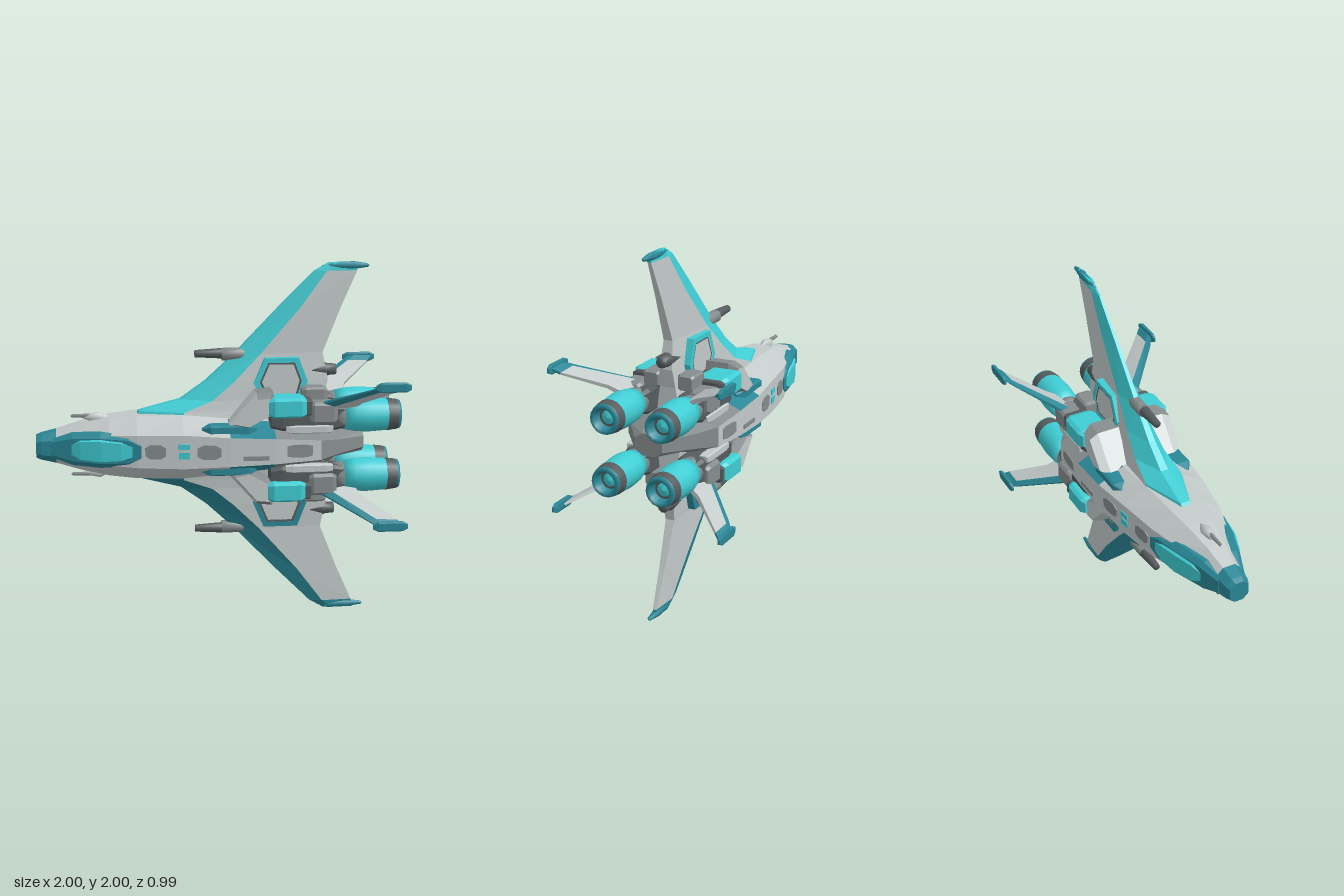
import * as THREE from 'three';

const mat = (name, color) => {
  const m = new THREE.MeshStandardMaterial({ color });
  m.name = name;
  return m;
};

export function createModel() {
  const light = mat('lightHull', 0xc3caca), gray = mat('midGray', 0x868c8d), dark = mat('darkMetal', 0x565c5e);
  const cyan = mat('brightCyan', 0x3fcdd4), teal = mat('deepTeal', 0x2a8796);
  const model = new THREE.Group();
  const ship = new THREE.Group();
  ship.name = 'ship';
  ship.position.y = 1; // the ship's long axis runs along x at mid height
  model.add(ship);

  const add = (name, geo, material) => {
    const m = new THREE.Mesh(geo, material);
    m.name = name;
    ship.add(m);
    return m;
  };

  // Faceted solid through rings of [x,y,z]; paint(segment, side) picks each face's colour
  function loft(name, rings, paint) {
    const pick = typeof paint === 'function' ? paint : () => paint;
    const n = rings[0].length, buckets = new Map();
    const tri = (m, a, b, c) => {
      if (!buckets.has(m)) buckets.set(m, []);
      buckets.get(m).push([a, b, c]);
    };
    for (let i = 0; i < rings.length - 1; i++) for (let j = 0; j < n; j++) {
      const k = (j + 1) % n, a = rings[i], b = rings[i + 1], m = pick(i, j);
      tri(m, a[j], b[j], b[k]);
      tri(m, a[j], b[k], a[k]);
    }
    const s = rings[0], e = rings[rings.length - 1];
    for (let j = 1; j < n - 1; j++) {
      tri(pick(0, 0), s[0], s[j], s[j + 1]);
      tri(pick(rings.length - 2, 0), e[0], e[j + 1], e[j]);
    }
    const V = p => new THREE.Vector3(...p);
    let volume = 0;
    const o = V(s[0]);
    for (const list of buckets.values()) for (const t of list) {
      const [a, b, c] = t.map(p => V(p).sub(o));
      volume += a.dot(b.cross(c));
    }
    const geo = new THREE.BufferGeometry(), pos = [], mats = [];
    for (const [m, list] of buckets) {
      geo.addGroup(pos.length / 3, list.length * 3, mats.length);
      mats.push(m);
      for (const [a, b, c] of list) pos.push(...a, ...(volume > 0 ? b : c), ...(volume > 0 ? c : b));
    }
    geo.setAttribute('position', new THREE.Float32BufferAttribute(pos, 3));
    geo.computeVertexNormals();
    return add(name, geo, mats);
  }

  // Reflected copy with corrected face order
  function mirror(mesh, sy, sz) {
    const geo = mesh.geometry.index ? mesh.geometry.toNonIndexed() : mesh.geometry.clone();
    geo.applyMatrix4(new THREE.Matrix4().makeScale(1, sy, sz));
    if (sy * sz < 0) for (const at of Object.values(geo.attributes)) {
      const w = at.itemSize;
      for (let i = 0; i < at.count; i += 3) for (let k = 0; k < w; k++) {
        const p = (i + 1) * w + k, q = p + w, t = at.array[p];
        at.array[p] = at.array[q];
        at.array[q] = t;
      }
    }
    add(mesh.name, geo, mesh.material);
  }
  const twice = m => mirror(m, -1, 1);
  const quad = m => [[-1, 1], [1, -1], [-1, -1]].forEach(([a, b]) => mirror(m, a, b));

  // Chamfered eight-sided cross-section
  const octagon = ([x, h, w], y = 0, z = 0, a = 0.52, b = 0.45) => [
    [-a, 1], [a, 1], [1, b], [1, -b], [a, -1], [-a, -1], [-1, -b], [-1, b]
  ].map(([p, q]) => [x, y + p * h, z + q * w]);
  const block = (name, x0, x1, y, z, h, w, m, taper = 0.8) => {
    const d = (x1 - x0) * 0.15;
    return loft(name, [[x0, h * taper, w * taper], [x0 + d, h, w], [x1 - d, h, w], [x1, h * taper, w * taper]]
      .map(s => octagon(s, y, z, 0.75, 0.75)), m);
  };
  const turned = (name, pts, y, z, m, sides = 18) => {
    const geo = new THREE.LatheGeometry(pts.map(([x, r]) => new THREE.Vector2(r, x)), sides);
    geo.rotateZ(-Math.PI / 2);
    geo.translate(0, y, z);
    return add(name, geo, m);
  };

  // Fuselage: x, half height, half width
  const hull = [[-1, 0.06, 0.055], [-0.97, 0.072, 0.066], [-0.89, 0.09, 0.078], [-0.75, 0.13, 0.11], [-0.6, 0.16, 0.16],
    [-0.45, 0.175, 0.205], [-0.2, 0.18, 0.245], [0.05, 0.155, 0.275], [0.3, 0.135, 0.28],
    [0.55, 0.105, 0.268], [0.65, 0.08, 0.2], [0.82, 0.06, 0.08]];
  loft('fuselage', hull.map(s => octagon(s)), (i, j) => {
    if (i < 2) return teal;
    if (i > 8) return gray;
    if (i === 7 && j % 2) return teal;
    return i === 8 && j % 4 ? gray : light;
  });
  const hullZ = x => {
    const i = Math.max(1, hull.findIndex(s => s[0] >= x)), [a, b] = [hull[i - 1], hull[i]];
    return a[2] + (b[2] - a[2]) * (x - a[0]) / (b[0] - a[0]);
  };

  // Canopies, one on each flank
  loft('canopyFrame', [[-0.92, 0.05, 0.078], [-0.8, 0.09, 0.122], [-0.65, 0.1, 0.172], [-0.5, 0.09, 0.204], [-0.43, 0.045, 0.214]]
    .map(s => octagon(s, 0, 0, 0.7, 0.8)), teal);
  loft('canopyGlass', [[-0.81, 0.035, 0.118], [-0.76, 0.07, 0.146], [-0.65, 0.08, 0.186], [-0.54, 0.068, 0.207], [-0.48, 0.04, 0.209]]
    .map(s => octagon(s, 0, 0, 0.7, 0.8)), cyan);

  // Painted flank patches, standing just proud of both sides
  const patch = (name, x0, x1, y, h, m, corner = 0.55) => loft(name, [0, 0.25, 0.75, 1].map(t => {
    const x = x0 + (x1 - x0) * t, r = t % 1 ? h : h * corner, w = hullZ(x) + 0.005;
    return [[x, y + r, w], [x, y + r, -w], [x, y - r, -w], [x, y - r, w]];
  }), m);
  patch('forwardPort', -0.41, -0.3, 0, 0.04, gray);
  patch('aftPort', -0.13, 0, 0, 0.04, gray);
  patch('upperMarking', -0.23, -0.17, 0.03, 0.015, cyan, 1);
  patch('lowerMarking', -0.23, -0.17, -0.02, 0.018, cyan, 1);
  patch('aftPanel', 0.36, 0.5, 0, 0.035, gray, 0.8);
  patch('tailPanel', 0.12, 0.26, -0.035, 0.012, gray, 1);

  // Blade from stations [y, z, leading x, trailing x, band width, half thickness]
  const blade = (name, stations, ny, nz, body, edge, tipFrom) => loft(name, stations.map(([y, z, xl, xt, band, t]) => {
    const p = (x, k) => [x, y + ny * k, z + nz * k];
    return [p(xl, t * 0.25), p(xl + band, t), p(xt, t * 0.5), p(xt, -t * 0.5), p(xl + band, -t), p(xl, -t * 0.25)];
  }), (i, j) => (i >= tipFrom || j === 0 || j > 3 ? edge : body));

  // Main wings, above and below
  const wing = [[0.1, 0, -0.5, 0.6, 0.3, 0.13], [0.19, 0, -0.43, 0.6, 0.24, 0.11], [0.25, 0, -0.2, 0.6, 0.17, 0.09],
    [0.35, 0, -0.06, 0.62, 0.15, 0.075], [0.5, 0, 0.1, 0.59, 0.14, 0.052], [0.75, 0, 0.34, 0.69, 0.12, 0.034],
    [0.95, 0, 0.54, 0.78, 0.07, 0.02], [0.995, 0, 0.62, 0.79, 0.04, 0.014]];
  for (const s of [1, -1]) {
    const trim = s > 0 ? cyan : teal;
    blade(s > 0 ? 'upperWing' : 'lowerWing', wing.map(([y, ...r]) => [y * s, ...r]), 0, 1, light, trim, 6);
    // Six-sided framed hatch passing through the wing
    const outline = k => [[0.26, 0.48], [0.45, 0.48], [0.5, 0.35], [0.47, 0.24], [0.25, 0.24], [0.2, 0.34]]
      .map(([x, y]) => new THREE.Vector2(0.35 + (x - 0.35) * k, s * (0.36 + (y - 0.36) * k)));
    const slab = (name, outer, inner, half, m) => {
      const shape = new THREE.Shape(outline(outer));
      if (inner) shape.holes.push(new THREE.Path(outline(inner)));
      const geo = new THREE.ExtrudeGeometry(shape, { depth: half * 2, bevelEnabled: false });
      add(name, geo.translate(0, 0, -half), m);
    };
    slab('hatchFrame', 1, 0.78, 0.08, trim);
    slab('hatchRim', 0.78, 0.7, 0.077, dark);
    slab('hatchPanel', 0.71, 0, 0.07, light);
  }
  twice(turned('wingTipRod', [[0.58, 0], [0.64, 0.018], [0.76, 0.022], [0.84, 0.01], [0.85, 0]], 0.977, 0, teal, 8));

  // Wing guns, trailing stubs and nose sensors
  twice(turned('gunBarrel', [[-0.12, 0], [-0.12, 0.02], [0.04, 0.03], [0.04, 0]], 0.5, 0, dark, 10));
  twice(turned('gunMount', [[0.03, 0], [0.03, 0.035], [0.14, 0.035], [0.24, 0]], 0.495, 0, gray, 10));
  twice(turned('wingStub', [[0.5, 0], [0.53, 0.04], [0.61, 0.04], [0.62, 0.034], [0.67, 0.03], [0.67, 0]], 0.4, 0, dark, 10));
  twice(turned('sensorPod', [[-0.75, 0], [-0.7, 0.022], [-0.65, 0.032], [-0.58, 0]], 0.155, 0, light, 8));
  twice(turned('sensorProbe', [[-0.81, 0], [-0.8, 0.01], [-0.68, 0.012], [-0.68, 0]], 0.165, 0, gray, 6));

  // Engine quadrant, repeated four times
  const ey = 0.17, ez = 0.157;
  const cowl = [[0.04, 0.13], [0.2, 0.31], [0.29, 0.32], [0.31, 0.2], [0.14, 0.11]];
  quad(loft('intakeCowl', [[0.05, 1], [0.2, 1], [0.25, 0.75]].map(([z, k]) =>
    cowl.map(([x, y]) => [0.2 + (x - 0.2) * k, 0.2 + (y - 0.2) * k, z])), (i, j) => (j === 0 ? light : gray)));
  quad(block('shoulderStrake', -0.1, 0.2, 0.11, 0.19, 0.03, 0.05, teal, 0.4));
  quad(block('nacellePod', 0.26, 0.47, 0.235, 0.19, 0.055, 0.09, cyan));
  quad(block('podBand', 0.46, 0.5, 0.235, 0.19, 0.045, 0.075, dark));
  quad(block('engineCore', 0.28, 0.7, ey, ez, 0.07, 0.075, dark));
  quad(block('outerHousing', 0.49, 0.64, 0.2, 0.2, 0.06, 0.06, gray));
  quad(block('upperHousing', 0.46, 0.6, 0.28, 0.1, 0.045, 0.05, gray));
  quad(block('lowerPipe', 0.36, 0.62, 0.11, 0.215, 0.022, 0.03, light));
  quad(turned('engineCollar', [[0.62, 0], [0.62, 0.07], [0.7, 0.078], [0.7, 0]], ey, ez, gray));
  quad(turned('engineShell', [[0.68, 0], [0.69, 0.078], [0.75, 0.09], [0.82, 0.095], [0.93, 0.088]], ey, ez, cyan));
  quad(turned('exhaustRing', [[0.925, 0.086], [0.93, 0.09], [0.985, 0.083]], ey, ez, dark));
  quad(turned('exhaustLip', [[0.985, 0.083], [1, 0.078], [1, 0.058], [0.95, 0.05]], ey, ez, teal));
  quad(turned('exhaustWell', [[0.95, 0.052], [0.95, 0.036]], ey, ez, dark));
  quad(turned('exhaustGlow', [[0.951, 0.037], [0.965, 0]], ey, ez, cyan));

  // Splayed tail fins with tip rods
  quad(blade('tailFin', [[0.22, 0.18, 0.48, 0.74, 0.06, 0.026], [0.265, 0.26, 0.58, 0.77, 0.05, 0.022],
    [0.36, 0.44, 0.78, 0.94, 0.045, 0.013], [0.385, 0.475, 0.83, 0.97, 0.04, 0.011]], 0.87, -0.49, light, teal, 2));
  quad(block('finTip', 0.8, 0.99, 0.382, 0.482, 0.026, 0.011, teal, 0.5));

  return model;
}
